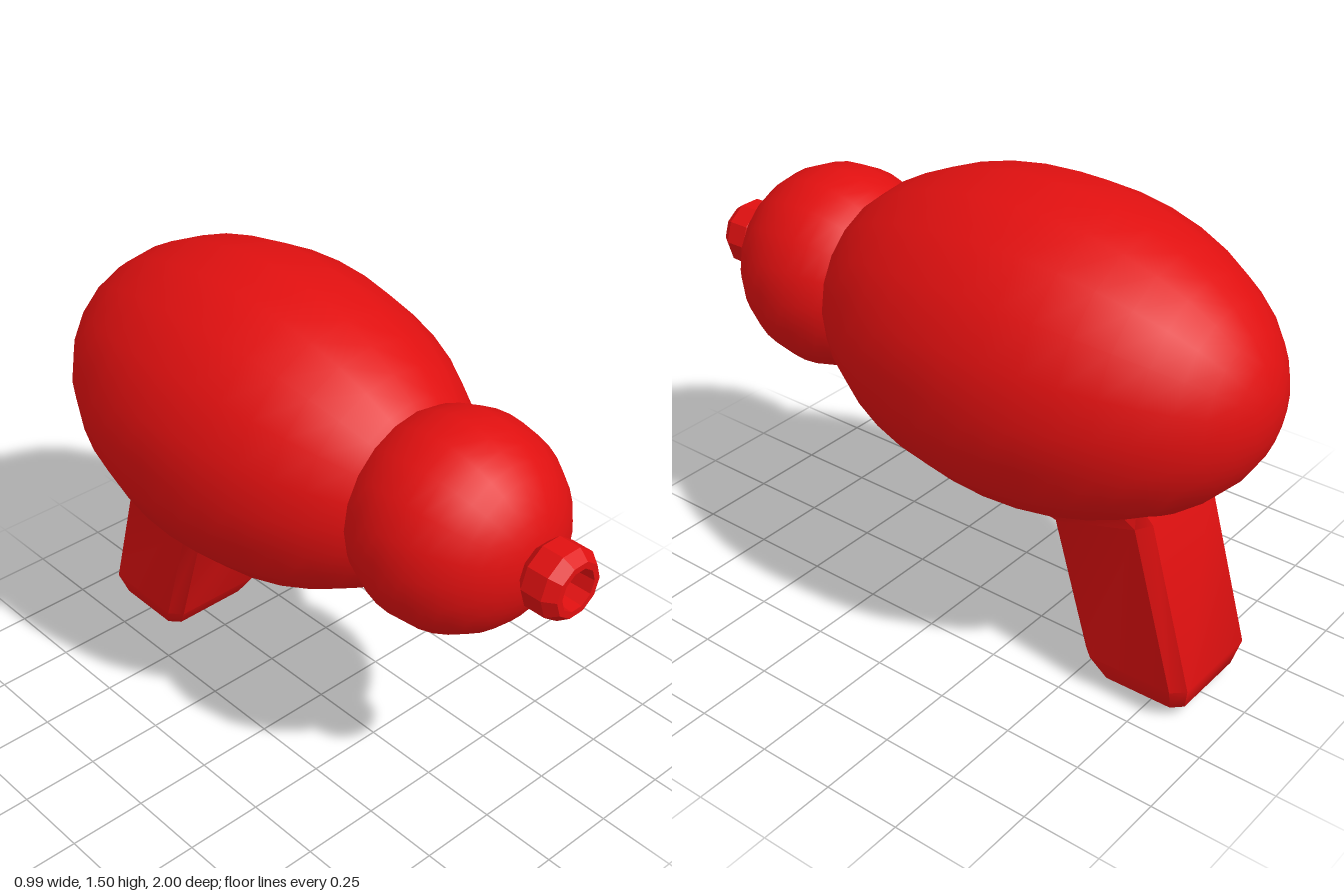
import * as THREE from 'three';
import { toCreasedNormals } from 'three/addons/utils/BufferGeometryUtils.js';

const AXIS_Y = 1.005;

function paint(flatShading = false) {
  const material = new THREE.MeshStandardMaterial({ color: 0xe01010 });
  material.flatShading = flatShading;
  return material;
}

// Ellipsoid with its poles along z
function pod(name, radius, halfLength, z) {
  const geometry = new THREE.SphereGeometry(1, 20, 20);
  geometry.rotateX(Math.PI / 2);
  geometry.scale(radius, radius, halfLength);
  const mesh = new THREE.Mesh(geometry, paint());
  mesh.name = name;
  mesh.position.set(0, AXIS_Y, z);
  return mesh;
}

// Ten-sided nozzle ring with a recessed opening
function nozzle() {
  const profile = [
    [0, 0.84], [0.08, 0.865], [0.11, 0.895], [0.11, 0.965],
    [0.085, 1], [0.065, 1], [0.06, 0.92], [0, 0.92],
  ].map(([r, z]) => new THREE.Vector2(r, z));
  const geometry = new THREE.LatheGeometry(profile, 10, Math.PI / 2);
  geometry.rotateX(Math.PI / 2);
  const mesh = new THREE.Mesh(geometry, paint(true));
  mesh.name = 'nozzle';
  mesh.position.y = AXIS_Y;
  return mesh;
}

// Slanted grip lofted through chamfered sections that flare out at the body
function grip() {
  // front z, front y, back z, back y, half width
  const sections = [
    [-0.65, 0.0, -0.82, 0.0, 0.1],
    [-0.58, 0.035, -0.87, 0.04, 0.16],
    [-0.53, 0.11, -0.89, 0.12, 0.19],
    [-0.4, 0.535, -0.74, 0.64, 0.19],
    [-0.35, 0.6, -0.715, 0.73, 0.25],
    [-0.42, 0.8, -0.65, 0.85, 0.15],
  ];
  const positions = [];
  const index = [];
  for (const [fz, fy, bz, by, w] of sections) {
    const a = w * 0.81;
    const c = 0.11;
    const corners = [
      [-a, 0], [a, 0], [w, c], [w, 1 - c],
      [a, 1], [-a, 1], [-w, 1 - c], [-w, c],
    ];
    for (const [x, t] of corners) {
      positions.push(x, fy + (by - fy) * t, fz + (bz - fz) * t);
    }
  }
  const n = 8;
  const last = (sections.length - 1) * n;
  for (let s = 0; s < last; s += n) {
    for (let i = 0; i < n; i++) {
      const j = (i + 1) % n;
      index.push(s + i, s + j, s + n + j, s + i, s + n + j, s + n + i);
    }
  }
  // End caps
  for (let i = 1; i < n - 1; i++) {
    index.push(0, i + 1, i, last, last + i, last + i + 1);
  }
  const geometry = new THREE.BufferGeometry();
  geometry.setAttribute('position', new THREE.Float32BufferAttribute(positions, 3));
  geometry.setIndex(index);
  const mesh = new THREE.Mesh(toCreasedNormals(geometry, 0.7), paint());
  mesh.name = 'grip';
  return mesh;
}

export function createModel() {
  const model = new THREE.Group();
  model.name = 'toyBlaster';
  model.add(
    pod('body', 0.495, 0.76, -0.24),
    pod('frontBulb', 0.325, 0.315, 0.56),
    nozzle(),
    grip(),
  );
  return model;
}
